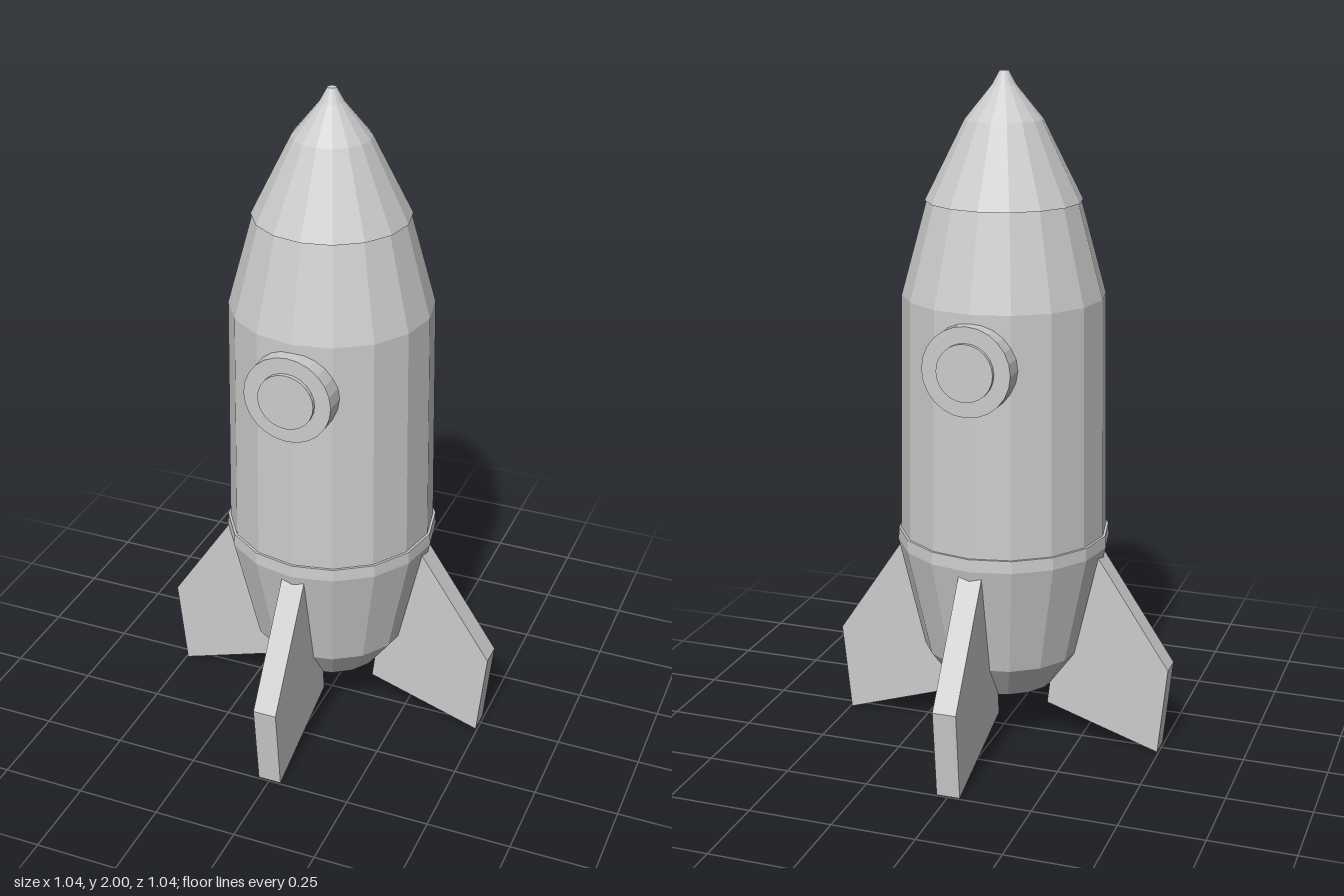
import * as THREE from 'three';

const SIDES = 16;

export function createModel() {
  const model = new THREE.Group();
  model.name = 'rocket';
  const grey = new THREE.MeshStandardMaterial({ color: 0xcccccc });
  grey.name = 'light grey';
  grey.flatShading = true;

  const add = (name, geometry, parent = model) => {
    const mesh = new THREE.Mesh(geometry, grey);
    mesh.name = name;
    parent.add(mesh);
    return mesh;
  };
  // Faceted turned part; profile runs from bottom to top
  const turned = (name, profile) =>
    add(name, new THREE.LatheGeometry(profile.map(([r, y]) => new THREE.Vector2(r, y)), SIDES));

  // Hull: tail with a raised lip, main body, and nose cone
  turned('tailSection', [[0, 0.175], [0.16, 0.175], [0.24, 0.285], [0.316, 0.62], [0.314, 0.657], [0.3, 0.657]]);
  turned('body', [[0.307, 0.64], [0.295, 1.365], [0.22, 1.64]]);
  turned('noseCone', [[0.21, 1.637], [0.226, 1.637], [0.112, 1.865], [0.035, 1.96], [0.013, 2], [0, 2]]);

  // Portholes on front and back
  for (const [name, angle] of [['frontPorthole', 0], ['backPorthole', Math.PI]]) {
    const porthole = new THREE.Group();
    porthole.name = name;
    porthole.rotation.y = angle;
    const disc = (part, radius, z0, z1) => {
      const geometry = new THREE.CylinderGeometry(radius, radius, z1 - z0, 24);
      geometry.rotateX(Math.PI / 2).translate(0, 1.21, (z0 + z1) / 2);
      add(part, geometry, porthole);
    };
    disc('portholeRim', 0.13, 0.22, 0.33);
    disc('portholePane', 0.083, 0.3, 0.342);
    model.add(porthole);
  }

  // Four swept fins, their inner edges buried in the tail
  const outline = [[0.15, 0.115], [0.495, 0.003], [0.522, 0.27], [0.302, 0.6], [0.26, 0.6], [0.16, 0.2]];
  const finShape = new THREE.Shape(outline.map(([x, y]) => new THREE.Vector2(x, y)));
  const finGeometry = new THREE.ExtrudeGeometry(finShape, { depth: 0.07, bevelEnabled: false });
  finGeometry.translate(0, 0, -0.035);
  ['leftFin', 'backFin', 'rightFin', 'frontFin'].forEach((name, i) => {
    add(name, finGeometry).rotation.y = (i * Math.PI) / 2;
  });

  return model;
}
